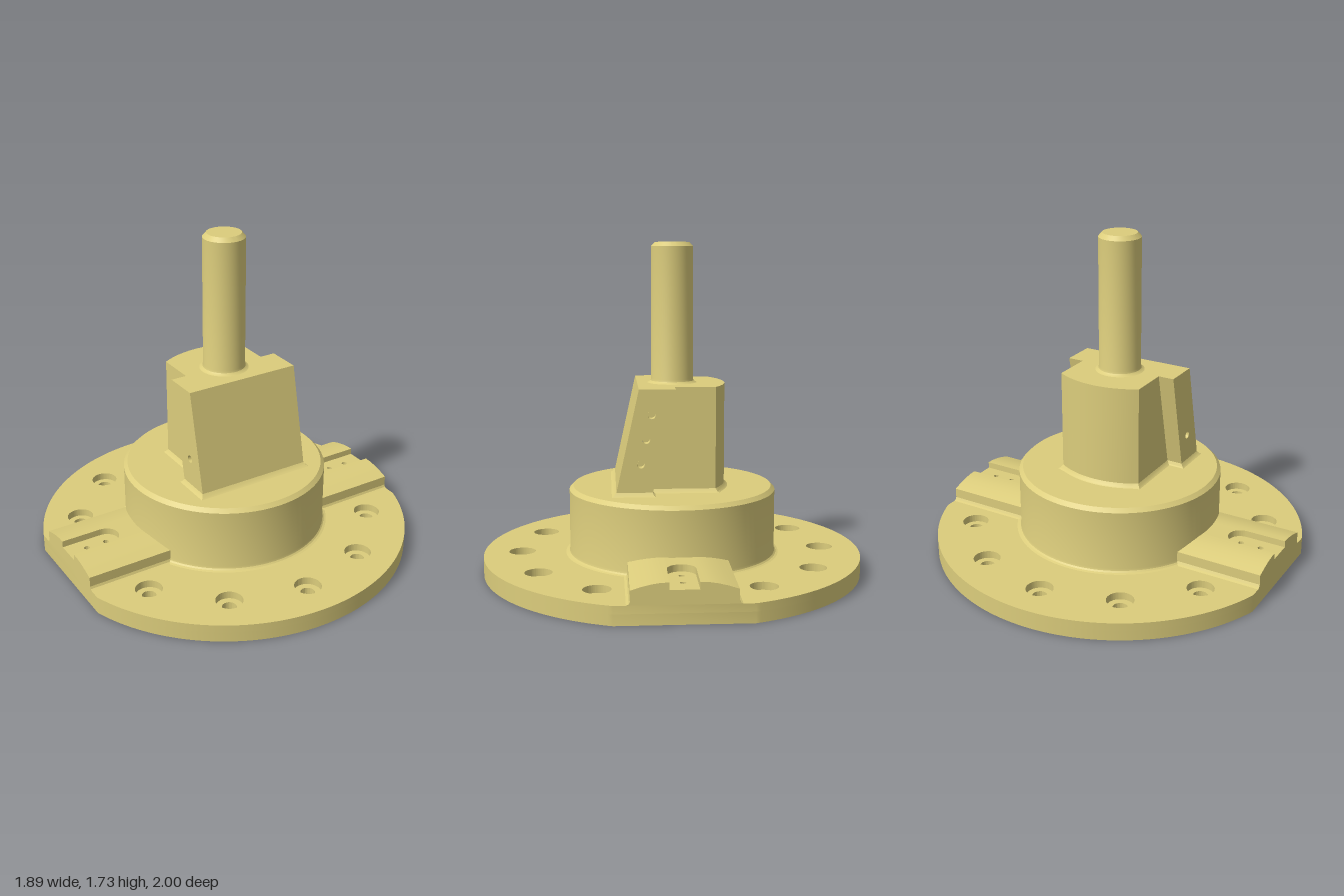
import * as THREE from 'three';
import { toCreasedNormals, mergeVertices } from 'three/addons/utils/BufferGeometryUtils.js';

const material = new THREE.MeshStandardMaterial({ color: 0xdccd7c });
const doubleSided = new THREE.MeshStandardMaterial({ color: 0xdccd7c, side: THREE.DoubleSide });
const V2 = (x, y) => new THREE.Vector2(x, y);
const polygon = (pts) => new THREE.Shape(pts.map(([x, y]) => V2(x, y)));

function add(parent, name, geometry, mat = material) {
  const mesh = new THREE.Mesh(geometry, mat);
  mesh.name = name;
  parent.add(mesh);
  return mesh;
}

function punch(shape, x, y, r) {
  shape.holes.push(new THREE.Path().absarc(x, y, r, 0, Math.PI * 2, true));
}

// Extrudes a plan outline upwards from y0 to y1
function slab(shape, y0, y1) {
  const g = new THREE.ExtrudeGeometry(shape, { depth: y1 - y0, bevelEnabled: false, curveSegments: 48 });
  g.rotateX(-Math.PI / 2).translate(0, y0, 0);
  return toCreasedNormals(g, 0.5);
}

function turned(points, segments = 96) {
  const g = new THREE.LatheGeometry(points.map(([x, y]) => V2(x, y)), segments);
  return toCreasedNormals(g, 0.4);
}

// Round flange with two flats, central bore and a bolt circle
function flangeLayer(boltRadius) {
  const a = Math.acos(0.945);
  const shape = new THREE.Shape();
  shape.absarc(0, 0, 1, a, Math.PI - a, false);
  shape.absarc(0, 0, 1, Math.PI + a, Math.PI * 2 - a, false);
  punch(shape, 0, 0, 0.49);
  for (let i = 0; i < 12; i++) {
    if (i % 6 === 0) continue; // the rails take these two places
    const t = (i * Math.PI) / 6;
    punch(shape, 0.8 * Math.cos(t), 0.8 * Math.sin(t), boltRadius);
  }
  return shape;
}

// Arched rail with a round-ended slot and two screw holes, running out along +x
function makeRail() {
  const rail = new THREE.Group();
  const x0 = 0.47, x1 = 0.945, w = 0.07;
  const half = [[w, 0.095], [0.268, 0.095], [0.256, 0.1], [0.25, 0.112], [0.25, 0.165],
    [0.2, 0.181], [0.155, 0.192], [0.11, 0.199], [w, 0.2]];
  const sides = [1, -1].map((s) => polygon(half.map(([z, y]) => [s * z, y])));
  const g = new THREE.ExtrudeGeometry(sides, { depth: x1 - x0, bevelEnabled: false });
  g.rotateY(Math.PI / 2).translate(x0, 0, 0);
  add(rail, 'railSides', toCreasedNormals(g, 0.3));

  const floor = polygon([[x0, -w], [x1, -w], [x1, w], [x0, w]]);
  punch(floor, 0.73, 0, 0.015);
  punch(floor, 0.84, 0, 0.015);
  add(rail, 'slotFloor', slab(floor, 0.095, 0.165));

  const plug = new THREE.Shape();
  plug.moveTo(x0, -w).lineTo(0.73, -w);
  plug.absarc(0.73, 0, w, -Math.PI / 2, -Math.PI * 1.5, true);
  plug.lineTo(x0, w);
  add(rail, 'slotEnd', slab(plug, 0.165, 0.2));
  return rail;
}

// Upright block: arched back body joined to a leaning front plate
function makeBlock() {
  const block = new THREE.Group();
  const top = 1, lean = 0.22, wide = 0.315, narrow = 0.23;
  // Each corner: x, z at the top, fillet direction in x and z, leaning or not
  const right = [[wide, 0.185, 1, 1, 1], [wide, 0, 1, -1, 1], [narrow, 0, 1, -1, 1],
    [narrow, -0.21, 1, -1, 0]];
  const arc = [];
  for (let i = 1; i < 16; i++) {
    const x = narrow * (1 - i / 8);
    arc.push([x, 0.165 - Math.sqrt(0.44 * 0.44 - x * x), 0, -1, 0]);
  }
  const left = right.map(([x, z, dx, dz, l]) => [-x, z, -dx, dz, l]).reverse();
  const outline = [...right, ...arc, ...left];
  const n = outline.length;

  // Rows of height and fillet width, from the hub upwards
  const levels = [[0.453, 0.022], [0.46, 0.01], [0.475, 0], [top, 0]];
  const pos = [], index = [];
  for (const [y, d] of levels) {
    for (const [x, z, dx, dz, l] of outline) pos.push(x + dx * d, y, z + dz * d + l * lean * (top - y));
  }
  for (let r = 0; r < 3; r++) {
    for (let i = 0; i < n; i++) {
      if (r === 2 && (i === 0 || i === n - 2)) continue; // drilled side panels go here
      const j = (i + 1) % n, a = r * n + i, b = r * n + j;
      index.push(a, b, b + n, a, b + n, a + n);
    }
  }
  const cap = THREE.ShapeUtils.triangulateShape(outline.map(([x, z]) => V2(x, -z)), []);
  for (const t of cap) index.push(...t.map((i) => i + 3 * n));
  const g = new THREE.BufferGeometry();
  g.setAttribute('position', new THREE.Float32BufferAttribute(pos, 3));
  g.setIndex(index);
  add(block, 'blockBody', toCreasedNormals(g, 0.5));

  // Side panels with three blind holes each
  const low = 0.475, shift = lean * (top - low);
  for (const s of [1, -1]) {
    const panel = polygon([[0, top], [0.185, top], [0.185 + shift, low], [shift, low]]
      .map(([z, y]) => [-s * z, y]));
    for (const y of [0.87, 0.745, 0.62]) {
      const z = 0.0925 + lean * (top - y);
      punch(panel, -s * z, y, 0.02);
      const cup = turned([[0, -0.05], [0.02, -0.05], [0.02, 0]], 24);
      cup.rotateZ((-s * Math.PI) / 2).translate(s * wide, y, z);
      add(block, 'sideHole', cup, doubleSided);
    }
    const face = new THREE.ShapeGeometry(panel, 24);
    face.rotateY((s * Math.PI) / 2).translate(s * wide, 0, 0);
    add(block, 'sidePanel', face);
  }
  return block;
}

export function createModel() {
  const model = new THREE.Group();
  model.name = 'flangedShaftFixture';

  // Flange: narrow bolt holes below, counterbores above
  const flange = new THREE.Group();
  flange.name = 'flange';
  add(flange, 'flangeLower', slab(flangeLayer(0.037), 0, 0.055));
  add(flange, 'flangeUpper', slab(flangeLayer(0.07), 0.055, 0.095));
  model.add(flange);

  // Hollow hub, from the bore ceiling round to the top face
  add(model, 'hub', turned([[0, 0.35], [0.455, 0.35], [0.455, 0.035], [0.49, 0], [0.495, 0.094],
    [0.567, 0.095], [0.555, 0.099], [0.548, 0.106], [0.545, 0.117], [0.545, 0.435],
    [0.525, 0.455], [0, 0.455]]));

  // Rails on both sides
  for (const s of [1, -1]) {
    const rail = makeRail();
    rail.name = s > 0 ? 'leftRail' : 'rightRail';
    if (s < 0) rail.rotation.y = Math.PI;
    model.add(rail);
  }

  const block = makeBlock();
  block.name = 'block';
  model.add(block);

  // Shaft with a filleted foot and a chamfered end
  add(model, 'shaft', turned([[0.132, 0.999], [0.12, 1.004], [0.113, 1.011], [0.11, 1.022],
    [0.11, 1.708], [0.09, 1.73], [0, 1.73]], 64));
  return model;
}
